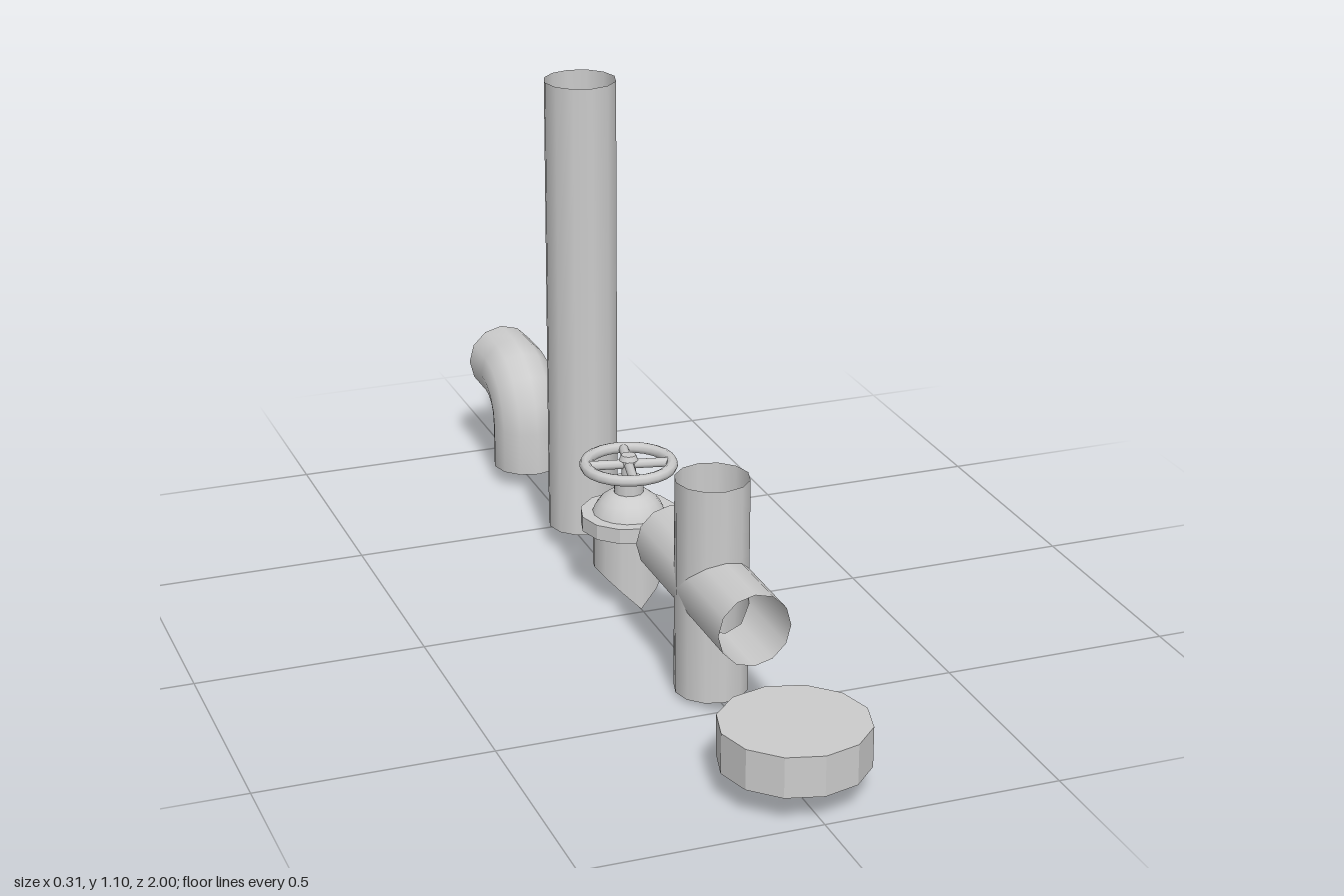
import * as THREE from 'three';

const SIDES = 12;
const smooth = new THREE.MeshStandardMaterial({ color: 0xcccccc, side: THREE.DoubleSide });
const flat = new THREE.MeshStandardMaterial({ color: 0xcccccc, flatShading: true });

function part(name, geometry, material = smooth, y = 0, z = 0) {
  const mesh = new THREE.Mesh(geometry, material);
  mesh.name = name;
  mesh.position.set(0, y, z);
  return mesh;
}

// Open upright tube whose bottom edge follows bottom(x, z)
function cutTube(radius, top, bottom) {
  const geometry = new THREE.CylinderGeometry(radius, radius, 1, SIDES, 1, true);
  const p = geometry.attributes.position;
  for (let i = 0; i < p.count; i++) {
    p.setY(i, p.getY(i) > 0 ? top : bottom(p.getX(i), p.getZ(i)));
  }
  return geometry;
}

// Sweep of circular rings through a 90 degree bend, from upright to facing -z
function elbowGeometry(radius, bend, straightDown, straightBack, steps) {
  const rings = [{ y: -straightDown, z: bend, a: 0 }];
  for (let i = 0; i <= steps; i++) {
    const a = (i / steps) * Math.PI / 2;
    rings.push({ y: bend * Math.sin(a), z: bend * Math.cos(a), a });
  }
  rings.push({ y: bend, z: -straightBack, a: Math.PI / 2 });
  const points = [], index = [];
  rings.forEach((ring, k) => {
    for (let j = 0; j < SIDES; j++) {
      const t = (j / SIDES) * Math.PI * 2, out = radius * Math.cos(t);
      points.push(radius * Math.sin(t), ring.y + out * Math.sin(ring.a), ring.z + out * Math.cos(ring.a));
      if (k === 0) continue;
      const n = (j + 1) % SIDES, lo = (k - 1) * SIDES, hi = k * SIDES;
      index.push(lo + j, lo + n, hi + j, lo + n, hi + n, hi + j);
    }
  });
  const geometry = new THREE.BufferGeometry();
  geometry.setAttribute('position', new THREE.Float32BufferAttribute(points, 3));
  geometry.setIndex(index);
  geometry.computeVertexNormals();
  return geometry;
}

// Four mitred arms meeting at the centre
function crossJoint() {
  const group = new THREE.Group();
  group.name = 'crossJoint';
  const arm = cutTube(0.078, 0.236, (x, z) => Math.abs(z));
  ['topArm', 'frontArm', 'bottomArm', 'backArm'].forEach((name, i) => {
    const mesh = part(name, arm);
    mesh.rotation.x = i * Math.PI / 2;
    group.add(mesh);
  });
  group.position.set(0, 0.25, 0.402);
  return group;
}

function valve() {
  const group = new THREE.Group();
  group.name = 'valve';
  const R = 0.08;
  // Stub with a saddle cut that fits over a pipe running along x
  group.add(part('saddleStub', cutTube(R, 0.18, (x, z) => 0.005 + Math.sqrt(Math.max(0, R * R - z * z)))));
  const v = (r, y) => new THREE.Vector2(r, y);
  const flange = [v(0, 0.175), v(0.107, 0.175), v(0.107, 0.209), v(0, 0.209)];
  group.add(part('flange', new THREE.LatheGeometry(flange, SIDES), flat));
  const dome = [v(0.08, 0.208), v(0.074, 0.222), v(0.062, 0.238), v(0.046, 0.25), v(0.03, 0.256), v(0, 0.258)];
  group.add(part('bonnet', new THREE.LatheGeometry(dome, 16)));
  group.add(part('neck', new THREE.CylinderGeometry(0.033, 0.033, 0.037, SIDES), smooth, 0.267));
  group.add(part('stem', new THREE.CylinderGeometry(0.016, 0.016, 0.055, SIDES), smooth, 0.31));
  group.add(part('stemNut', new THREE.CylinderGeometry(0.016, 0.021, 0.012, SIDES), smooth, 0.335));
  // Handwheel
  const wheel = new THREE.Group();
  wheel.name = 'handwheel';
  const rim = part('rim', new THREE.TorusGeometry(0.095, 0.013, 8, 24));
  rim.rotation.x = Math.PI / 2;
  wheel.add(rim);
  for (let i = 0; i < 2; i++) {
    const spoke = part('spokePair', new THREE.CylinderGeometry(0.011, 0.011, 0.184, 8));
    spoke.rotation.set(0, i * Math.PI / 2, Math.PI / 2);
    wheel.add(spoke);
  }
  wheel.rotation.y = -0.22;
  wheel.position.y = 0.319;
  group.add(wheel);
  group.position.z = -0.094;
  return group;
}

export function createModel() {
  const model = new THREE.Group();
  model.name = 'pipeParts';
  model.add(part('endCap', new THREE.CylinderGeometry(0.154, 0.154, 0.087, SIDES), flat, 0.109, 0.846));
  model.add(crossJoint());
  model.add(valve());
  model.add(part('longPipe', new THREE.CylinderGeometry(0.08, 0.08, 1.05, SIDES, 1, true), smooth, 0.58, -0.4));
  model.add(part('elbow', elbowGeometry(0.082, 0.1, 0.1, 0.093, 4), smooth, 0.142, -0.907));
  return model;
}
